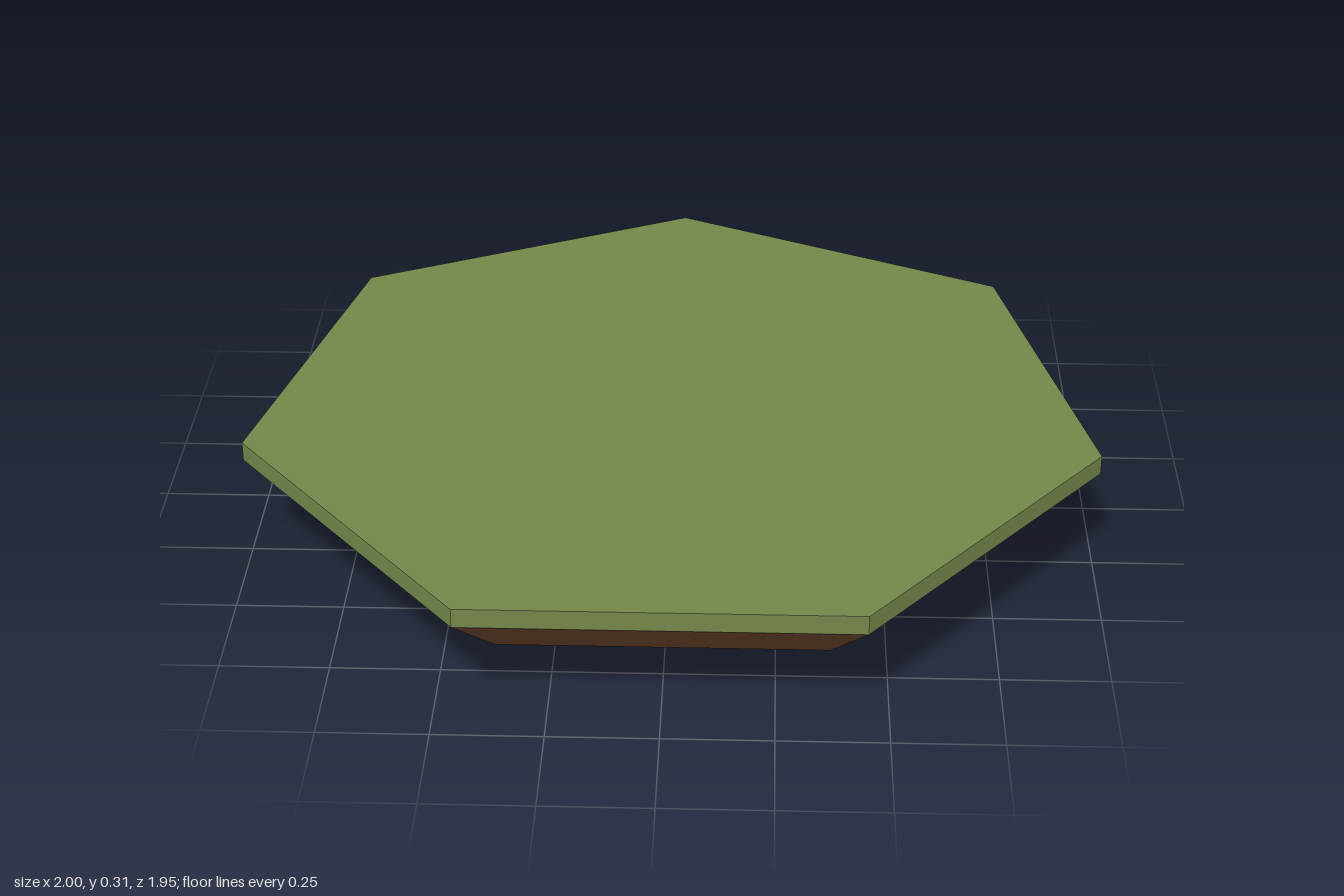
import * as THREE from 'three';

const SIDES = 7;
const RIM = 1 / Math.cos(Math.PI / 14); // heptagon radius that gives a width of 2

// Faceted seven-sided solid from a [radius, height] profile, one corner pointing back
function facetedRing(name, profile, material) {
  const points = profile.map(([r, y]) => new THREE.Vector2(r, y));
  const geometry = new THREE.LatheGeometry(points, SIDES, Math.PI, Math.PI * 2);
  const mesh = new THREE.Mesh(geometry, material);
  mesh.name = name;
  return mesh;
}

export function createModel() {
  const grass = new THREE.MeshStandardMaterial({ color: 0x74864a, flatShading: true });
  grass.name = 'grass green';
  const soil = new THREE.MeshStandardMaterial({ color: 0x6b462d, flatShading: true });
  soil.name = 'soil brown';

  const model = new THREE.Group();
  model.name = 'floatingIsland';

  // Tapering earth underside, flat at the bottom
  model.add(facetedRing('soilBase', [[0, 0], [0.43, 0], [0.85, 0.115], [RIM, 0.262]], soil));

  // Thin turf slab on top
  model.add(facetedRing('grassTop', [[RIM, 0.262], [RIM, 0.308], [0, 0.308]], grass));

  // Centre the heptagon's depth on z = 0
  const depthOffset = (RIM - RIM * Math.cos(Math.PI / SIDES)) / 2;
  model.children.forEach((part) => { part.position.z = depthOffset; });
  return model;
}
